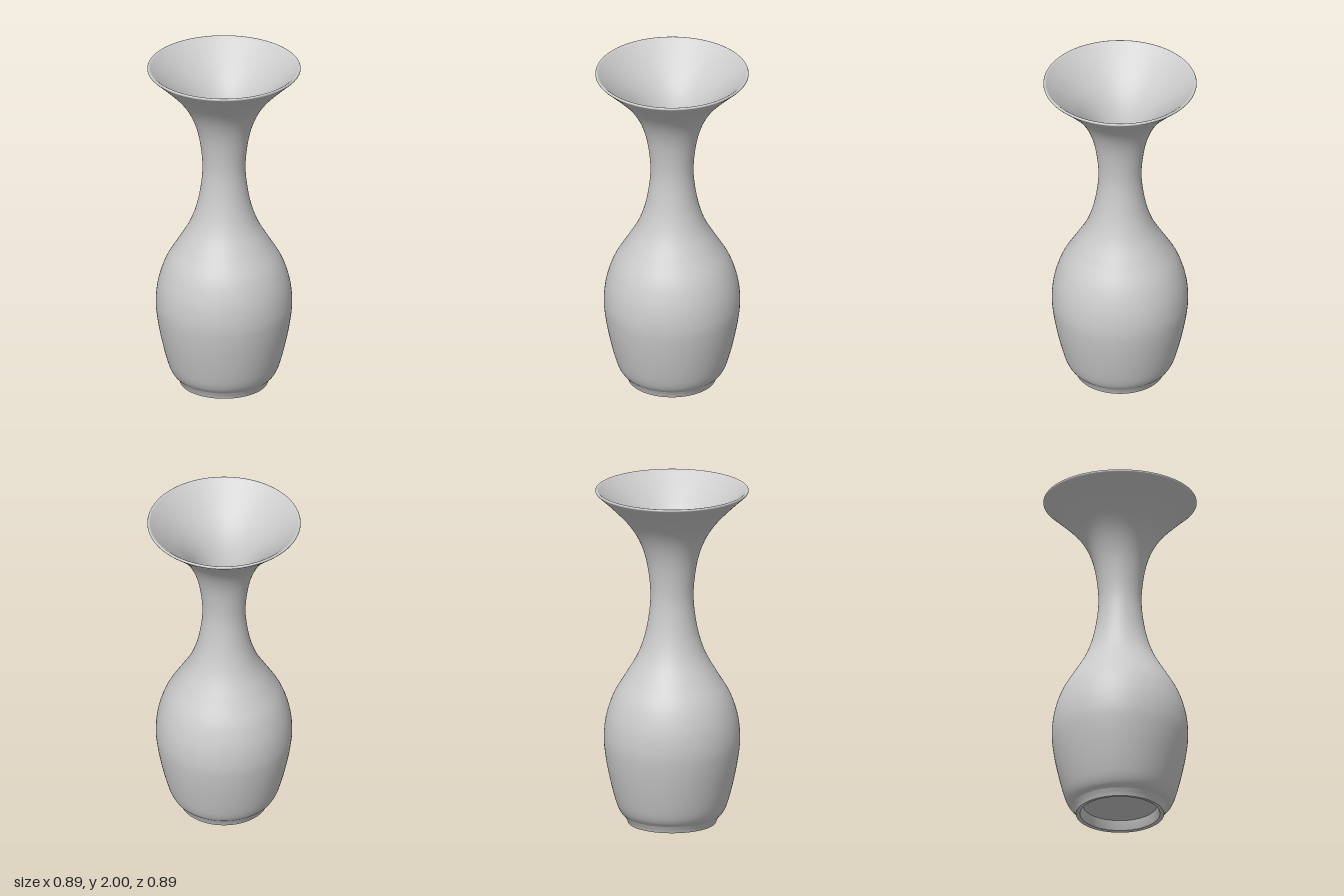
import * as THREE from 'three';

const SEGMENTS = 96;

// Smooth curve through [radius, height] points
function smooth(points, count) {
  const curve = new THREE.CatmullRomCurve3(points.map(([r, y]) => new THREE.Vector3(r, y, 0)), false, 'centripetal');
  return curve.getPoints(count).map(p => new THREE.Vector2(Math.max(p.x, 0), p.y));
}

export function createModel() {
  const vase = new THREE.Group();
  vase.name = 'vase';
  const material = new THREE.MeshStandardMaterial({ color: 0xcccccc, side: THREE.DoubleSide });

  const addLathe = (name, points) => {
    const mesh = new THREE.Mesh(new THREE.LatheGeometry(points, SEGMENTS), material);
    mesh.name = name;
    vase.add(mesh);
  };

  // Belly, neck and flared mouth
  const outer = [
    [0.275, 0.045], [0.295, 0.065], [0.314, 0.1], [0.335, 0.165], [0.365, 0.29], [0.385, 0.4],
    [0.395, 0.5], [0.387, 0.61], [0.365, 0.7], [0.333, 0.78], [0.267, 0.89], [0.203, 1.0],
    [0.165, 1.1], [0.14, 1.21], [0.125, 1.35], [0.133, 1.48], [0.158, 1.61], [0.2, 1.715],
    [0.26, 1.805], [0.35, 1.9], [0.438, 1.982],
  ];
  addLathe('outerBody', smooth(outer, 90));

  // Rounded lip
  addLathe('lip', smooth([[0.438, 1.982], [0.444, 1.99], [0.442, 1.998], [0.435, 2.0], [0.426, 1.994]], 12));

  // Hollow inside, thin wall down to the floor
  const inner = [
    [0.426, 1.994], [0.336, 1.908], [0.246, 1.813], [0.186, 1.722], [0.144, 1.612], [0.12, 1.48],
    [0.112, 1.35], [0.126, 1.21], [0.151, 1.1], [0.189, 1.0], [0.253, 0.89], [0.318, 0.78],
    [0.35, 0.7], [0.372, 0.61], [0.38, 0.5], [0.35, 0.29], [0.32, 0.165], [0.298, 0.11], [0.26, 0.085],
  ];
  addLathe('innerWall', smooth(inner, 80));
  addLathe('innerFloor', [new THREE.Vector2(0.26, 0.085), new THREE.Vector2(0, 0.085)]);

  // Foot ring with a recessed underside
  addLathe('footRing', smooth([[0.255, 0.002], [0.262, 0.02], [0.275, 0.045]], 8));
  addLathe('footEdge', smooth([[0.232, 0.005], [0.243, 0], [0.255, 0.002]], 8));
  addLathe('footRecess', smooth([[0.215, 0.06], [0.222, 0.035], [0.232, 0.005]], 8));
  addLathe('underside', [new THREE.Vector2(0, 0.06), new THREE.Vector2(0.215, 0.06)]);

  return vase;
}
